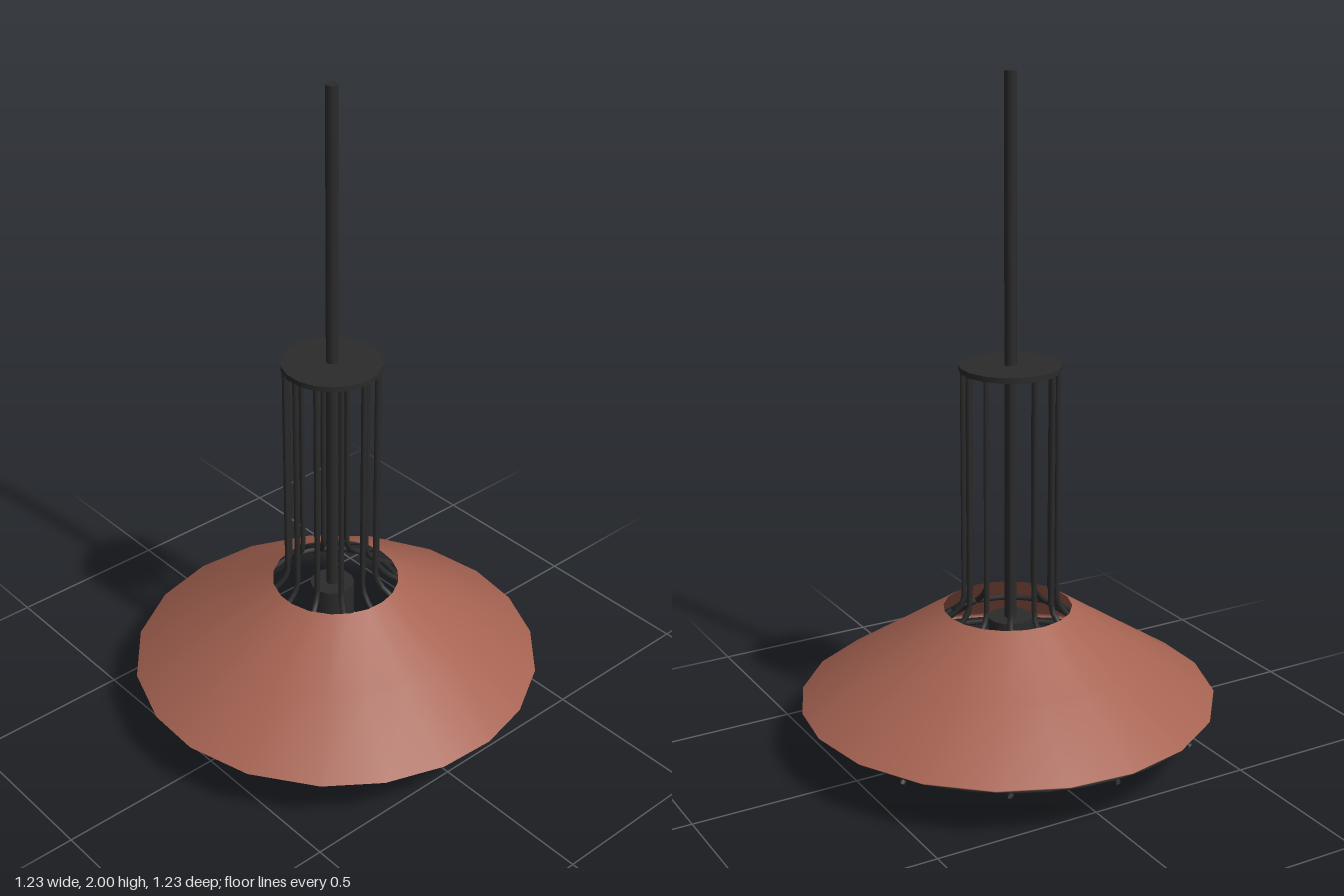
import * as THREE from 'three';

const dark = new THREE.MeshStandardMaterial({ color: 0x2b2b2b, side: THREE.DoubleSide });
const clay = new THREE.MeshStandardMaterial({ color: 0xa66352, side: THREE.DoubleSide });
const glass = new THREE.MeshStandardMaterial({ color: 0xcccccc });

function add(parent, name, geometry, material, y = 0) {
  const mesh = new THREE.Mesh(geometry, material);
  mesh.name = name;
  mesh.position.y = y;
  parent.add(mesh);
  return mesh;
}

// Conical shade lofted through slightly uneven 20-sided rings
function shadeGeometry() {
  const degrees = [0, 16, 33, 51, 69, 85, 101, 118, 135, 155, 174, 190, 209, 229, 248, 266, 284, 303, 322, 342];
  const profile = [[0.606, 0.154], [0.617, 0.163], [0.4, 0.304], [0.19, 0.442]];
  const n = degrees.length;
  const positions = [];
  const index = [];
  profile.forEach(([r, y], j) => degrees.forEach((d, i) => {
    const a = THREE.MathUtils.degToRad(d);
    positions.push(r * Math.cos(a), y, r * Math.sin(a));
    if (j === profile.length - 1) return;
    const p = j * n + i;
    const q = j * n + (i + 1) % n;
    index.push(p, p + n, q, q, p + n, q + n);
  }));
  const g = new THREE.BufferGeometry();
  g.setAttribute('position', new THREE.Float32BufferAttribute(positions, 3));
  g.setIndex(index);
  g.computeVertexNormals();
  return g;
}

// Rod that drops straight down, bends outward and follows the shade's inside
function rodGeometry() {
  const top = new THREE.Vector3(0.136, 1.17, 0);
  const bendStart = new THREE.Vector3(0.136, 0.48, 0);
  const bendEnd = new THREE.Vector3(0.2, 0.395, 0);
  const tip = new THREE.Vector3(0.588, 0.138, 0);
  const path = new THREE.CurvePath();
  path.add(new THREE.LineCurve3(top, bendStart));
  path.add(new THREE.QuadraticBezierCurve3(bendStart, new THREE.Vector3(0.136, 0.437, 0), bendEnd));
  path.add(new THREE.LineCurve3(bendEnd, tip));
  return new THREE.TubeGeometry(path, 44, 0.0085, 6);
}

export function createModel() {
  const model = new THREE.Group();
  model.name = 'pendantLamp';

  const shade = add(model, 'shade', shadeGeometry(), clay);
  shade.position.set(-0.003, 0, -0.002);

  // Everything on the cord's axis sits slightly behind the shade's centre
  const core = new THREE.Group();
  core.name = 'lampCore';
  core.position.set(-0.003, 0, -0.017);
  model.add(core);

  add(core, 'cord', new THREE.CylinderGeometry(0.018, 0.018, 1.61, 10), dark, 1.195);
  add(core, 'topDisc', new THREE.CylinderGeometry(0.147, 0.147, 0.016, 18), dark, 1.172);

  // Twelve cage rods
  const cage = new THREE.Group();
  cage.name = 'cage';
  core.add(cage);
  const rod = rodGeometry();
  for (let i = 0; i < 12; i++) {
    add(cage, 'cageRod', rod, dark).rotation.y = i * Math.PI / 6;
  }

  // Wire rings tying the rods together under the shade
  for (const [name, r, y] of [['innerRing', 0.205, 0.39], ['outerRing', 0.58, 0.152]]) {
    add(cage, name, new THREE.TorusGeometry(r, 0.0085, 6, 36).rotateX(Math.PI / 2), dark, y);
  }

  // Socket and bulb
  add(core, 'socket', new THREE.CylinderGeometry(0.066, 0.066, 0.14, 14), dark, 0.345);
  const profile = [];
  for (let i = 0; i <= 5; i++) {
    const a = i / 5 * Math.PI / 2;
    profile.push(new THREE.Vector2(0.085 * Math.sin(a), 0.085 - 0.085 * Math.cos(a)));
  }
  profile.push(new THREE.Vector2(0.085, 0.24), new THREE.Vector2(0.078, 0.27), new THREE.Vector2(0.06, 0.295));
  add(core, 'bulb', new THREE.LatheGeometry(profile, 14), glass);

  return model;
}
